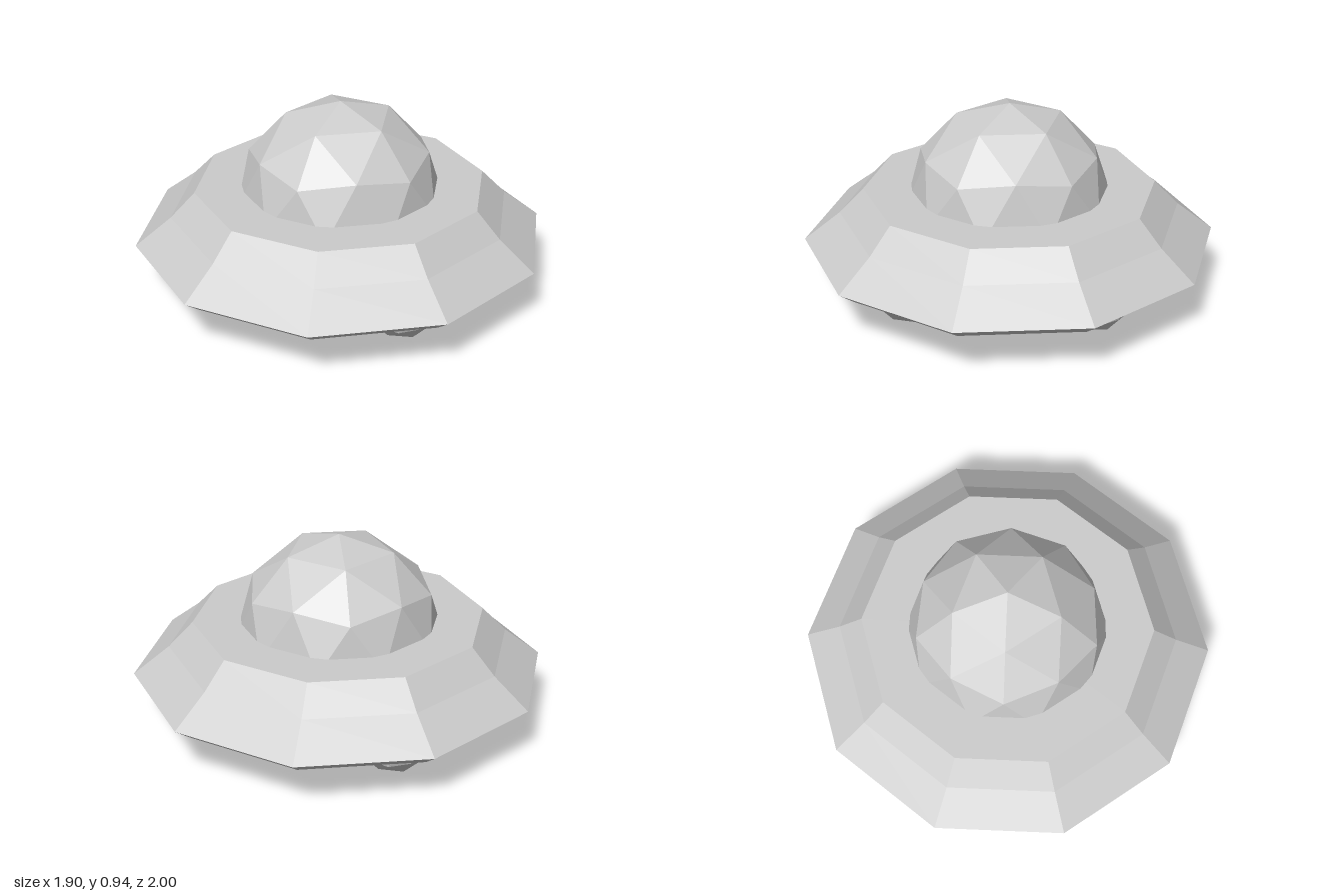
import * as THREE from 'three';

const material = new THREE.MeshStandardMaterial({ color: 0xcccccc, flatShading: true });
const doubleSided = new THREE.MeshStandardMaterial({ color: 0xcccccc, flatShading: true, side: THREE.DoubleSide });

function part(name, geometry, mat = material) {
  const flat = geometry.index ? geometry.toNonIndexed() : geometry;
  flat.computeVertexNormals();
  const mesh = new THREE.Mesh(flat, mat);
  mesh.name = name;
  return mesh;
}

// Corners of a regular polygon, first corner turned from +z by start
function polygon(radius, sides, start = 0) {
  return Array.from({ length: sides }, (_, i) => {
    const a = start + (i / sides) * Math.PI * 2;
    return new THREE.Vector2(radius * Math.sin(a), radius * Math.cos(a));
  });
}

// Upper half of a unit icosphere: a vertex at the pole, underside flattened
function halfIcosphere() {
  const geometry = new THREE.IcosahedronGeometry(1, 1);
  geometry.rotateZ(Math.atan(2 / (1 + Math.sqrt(5))));
  geometry.rotateY(Math.PI);
  const pos = geometry.attributes.position;
  for (let i = 0; i < pos.count; i++) pos.setY(i, Math.max(0, pos.getY(i)));
  return geometry;
}

export function createModel() {
  const model = new THREE.Group();
  model.name = 'saucer';
  const bottomY = 0.197;

  // Ten-sided hull with a flat top deck
  const profile = [[0.92, bottomY], [1, 0.257], [0.825, 0.395], [0.707, 0.517], [0, 0.517]]
    .map(([r, y]) => new THREE.Vector2(r, y));
  model.add(part('hull', new THREE.LatheGeometry(profile, 10)));

  // Flat underside with a five-sided opening
  const plate = new THREE.Shape(polygon(0.92, 10));
  plate.holes.push(new THREE.Path(polygon(0.4, 5, Math.PI / 5)));
  const underside = part('underside', new THREE.ShapeGeometry(plate).rotateX(Math.PI / 2), doubleSided);
  underside.position.y = bottomY;
  model.add(underside);

  // Shallow pyramid recess rising into the hull
  const recess = part('undersideRecess',
    new THREE.ConeGeometry(0.4, 0.16, 5, 1, true, Math.PI / 5), doubleSided);
  recess.position.y = bottomY + 0.08;
  model.add(recess);

  // Faceted cockpit dome
  const dome = part('dome', halfIcosphere().scale(0.5, 0.5, 0.5));
  dome.position.y = 0.44;
  model.add(dome);

  // Four rounded landing pods
  for (let i = 0; i < 4; i++) {
    const a = (i / 4) * Math.PI * 2;
    const pod = part('landingPod', halfIcosphere().rotateX(Math.PI).scale(0.19, 0.2, 0.19));
    pod.position.set(0.61 * Math.cos(a), 0.2, -0.61 * Math.sin(a));
    pod.rotation.y = a;
    model.add(pod);
  }
  return model;
}
